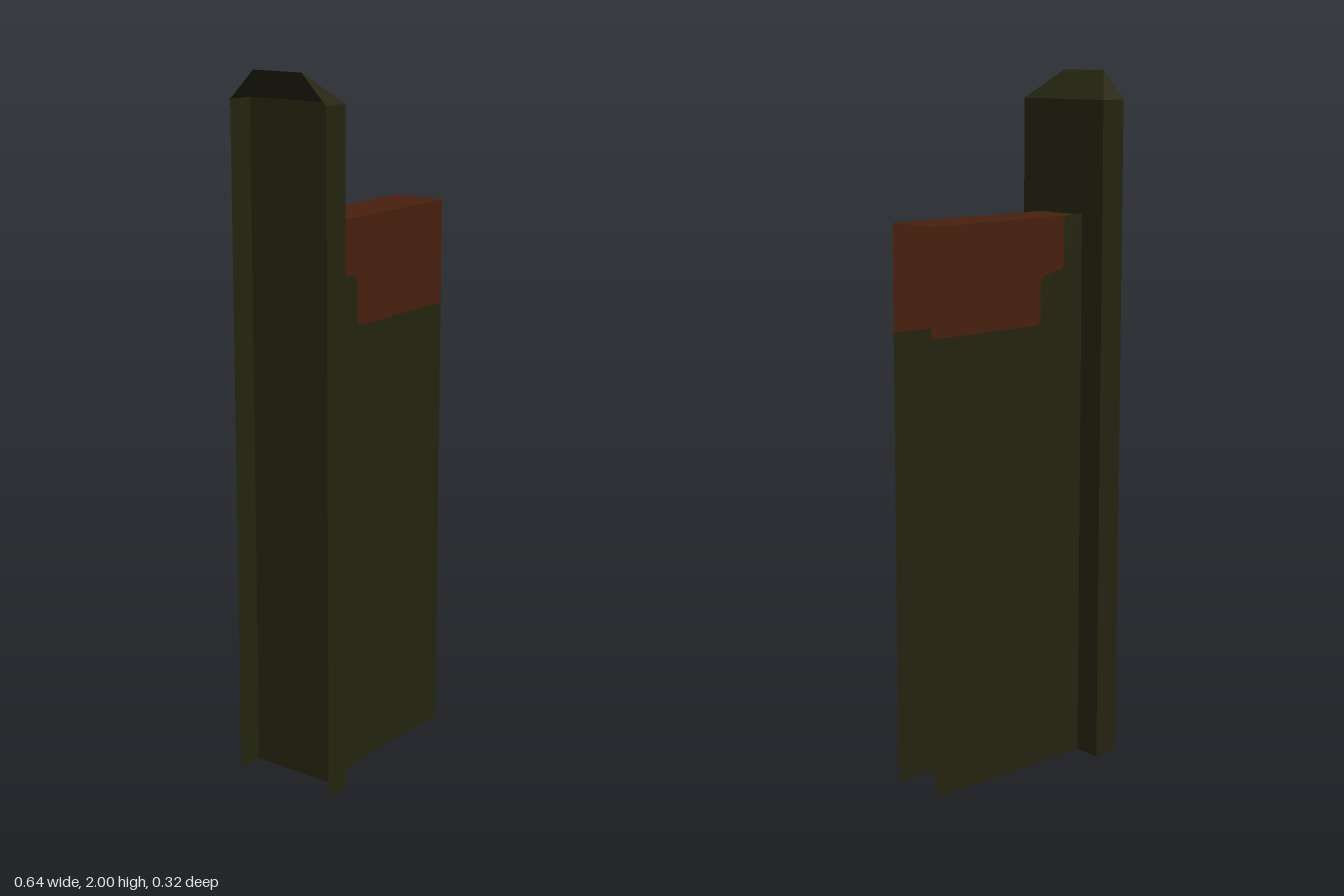
import * as THREE from 'three';

const flat = (name, color) => {
  const m = new THREE.MeshStandardMaterial({ color, side: THREE.DoubleSide });
  m.name = name;
  return m;
};

// Flat-shaded mesh from convex polygons, each a list of [x, y, z] corners
function sheet(name, polygons, material) {
  const points = [];
  for (const p of polygons) {
    for (let i = 1; i < p.length - 1; i++) points.push(...p[0], ...p[i], ...p[i + 1]);
  }
  const geometry = new THREE.BufferGeometry();
  geometry.setAttribute('position', new THREE.Float32BufferAttribute(points, 3));
  geometry.computeVertexNormals();
  const mesh = new THREE.Mesh(geometry, material);
  mesh.name = name;
  return mesh;
}

// Stepped, softly rounded border between the two paint areas, from top to right edge
function traceBorder(shape) {
  shape.lineTo(-0.17, 1.475);
  shape.quadraticCurveTo(-0.17, 1.45, -0.145, 1.448);
  shape.lineTo(-0.11, 1.442);
  shape.quadraticCurveTo(-0.08, 1.437, -0.08, 1.41);
  shape.lineTo(-0.08, 1.32);
  shape.quadraticCurveTo(-0.08, 1.3, -0.06, 1.3);
  shape.lineTo(0.32, 1.3);
}

export function createModel() {
  const model = new THREE.Group();
  model.name = 'postAndPanel';
  const green = flat('darkOlive', 0x252410);
  const rust = flat('rustBrown', 0x48200d);

  const back = -0.32, face = -0.24, end = 0.32;
  const wide = 0.16, half = 0.08, shoulder = 1.92, peak = 2, top = 1.6;

  // Post: channel open at the back and the bottom
  const post = new THREE.Group();
  post.name = 'post';
  post.add(sheet('postFace', [[
    [face, 0, wide], [face, 0, -wide], [face, shoulder, -wide], [face, shoulder, wide],
  ]], green));
  const side = [[back, 0, wide], [face, 0, wide], [face, shoulder, wide], [back, shoulder, wide]];
  const corner = [[back, shoulder, wide], [face, shoulder, wide], [back, peak, half]];
  const mirror = (p) => p.map(([x, y, z]) => [x, y, -z]).reverse();
  post.add(sheet('postSides', [side, mirror(side)], green));

  // Sloped cap with cut corners
  post.add(sheet('postCap', [
    [[face, shoulder, wide], [face, shoulder, -wide], [back, peak, -half], [back, peak, half]],
    corner, mirror(corner),
  ], green));
  model.add(post);

  // Panel skins, front and back, each split along the paint border
  const upper = new THREE.Shape();
  upper.moveTo(-0.17, top);
  traceBorder(upper);
  upper.lineTo(end, top);

  const lower = new THREE.Shape();
  lower.moveTo(-0.17, top);
  traceBorder(lower);
  lower.lineTo(end, 0);
  lower.lineTo(face, 0);
  lower.lineTo(face, top);

  const panel = new THREE.Group();
  panel.name = 'panel';
  for (const s of [1, -1]) {
    for (const [name, shape, material] of [['Upper', upper, rust], ['Lower', lower, green]]) {
      const skin = new THREE.Mesh(new THREE.ShapeGeometry(shape, 6), material);
      // turning and flipping x keeps the outside facing outwards
      if (s < 0) skin.scale.z = -1;
      skin.position.z = s * half;
      skin.name = (s > 0 ? 'front' : 'back') + name + 'Skin';
      panel.add(skin);
    }
  }

  // Top strip; the far end and the bottom stay open
  const strip = (x0, x1) => [[[x0, top, half], [x1, top, half], [x1, top, -half], [x0, top, -half]]];
  panel.add(sheet('topStripInner', strip(face, -0.21), green));
  panel.add(sheet('topStripOuter', strip(-0.21, end), rust));
  model.add(panel);

  return model;
}
